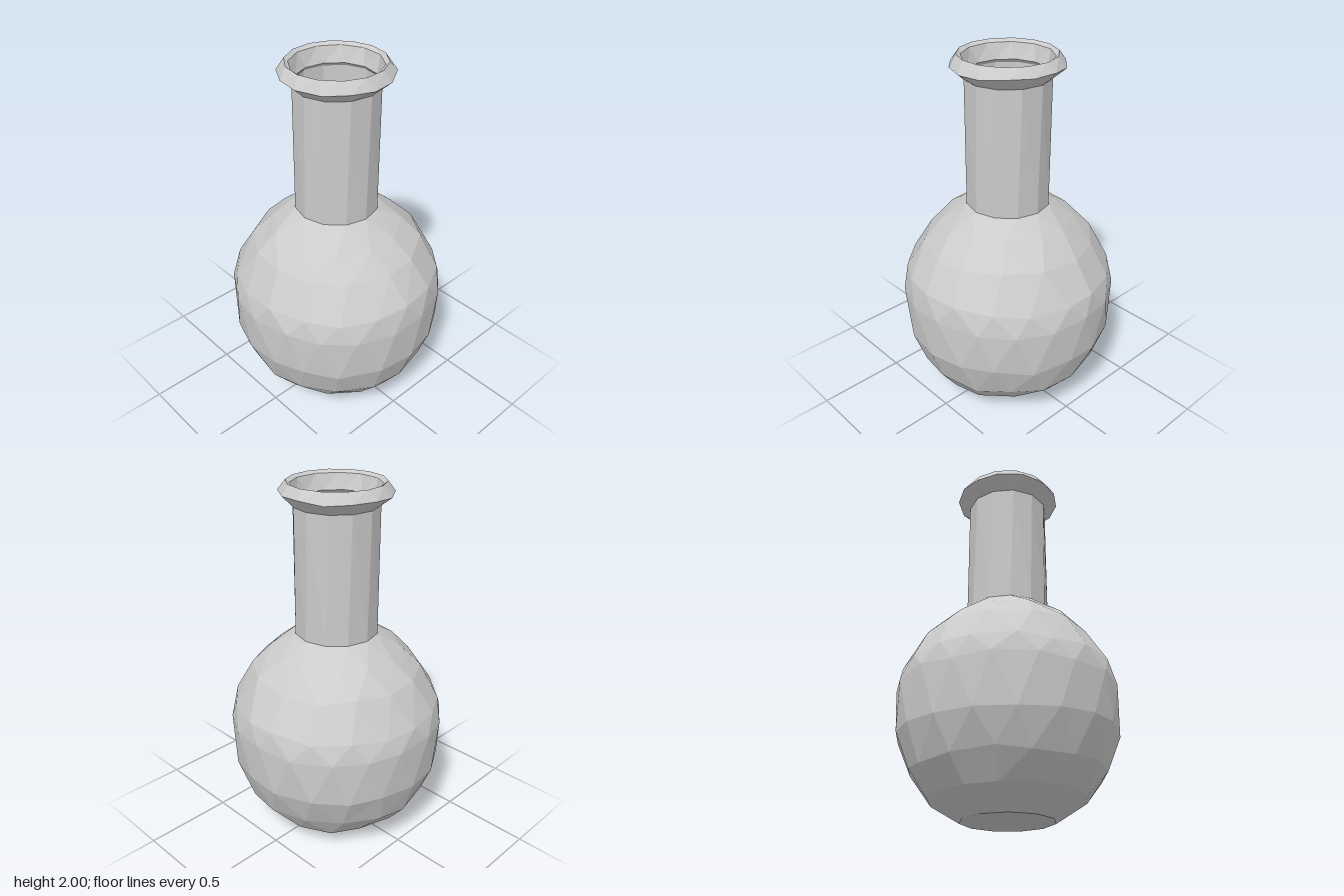
import * as THREE from 'three';

const TAU = Math.PI * 2;

const material = new THREE.MeshStandardMaterial({
  color: 0xcccccc, flatShading: true, side: THREE.DoubleSide,
});

// Small seeded generator for the hand-cut unevenness
function seeded(seed) {
  return () => {
    seed = (seed * 16807) % 2147483647;
    return seed / 2147483647 - 0.5;
  };
}

// Ring of n points; wobble varies the spacing and height a little
function ring(radius, y, n, phase = 0, wobble = 0, random = () => 0) {
  return Array.from({ length: n }, (_, i) => {
    const angle = ((i + phase + random() * wobble) / n) * TAU;
    const p = new THREE.Vector3(radius * Math.sin(angle), y + random() * wobble * 0.12, radius * Math.cos(angle));
    return { p, angle };
  });
}

// Join two rings of any point counts with triangles facing outwards
function zip(low, high, out) {
  const at = (r, i) => r[i % r.length].p;
  const angle = (r, i) => r[i % r.length].angle + Math.floor(i / r.length) * TAU;
  let i = 0, j = 0;
  while (i < low.length || j < high.length) {
    const stepLow = j >= high.length || (i < low.length && angle(low, i + 1) <= angle(high, j + 1));
    if (stepLow) {
      out.push(at(low, i), at(low, i + 1), at(high, j));
      i++;
    } else {
      out.push(at(low, i), at(high, j + 1), at(high, j));
      j++;
    }
  }
}

function shell(name, rings, floor = false) {
  const points = [];
  for (let k = 0; k + 1 < rings.length; k++) zip(rings[k], rings[k + 1], points);
  if (floor) {
    const base = rings[0];
    const centre = new THREE.Vector3(0, base[0].p.y, 0);
    base.forEach((v, i) => points.push(centre, base[(i + 1) % base.length].p, v.p));
  }
  const geometry = new THREE.BufferGeometry().setFromPoints(points);
  geometry.computeVertexNormals();
  const mesh = new THREE.Mesh(geometry, material);
  mesh.name = name;
  return mesh;
}

export function createModel() {
  const group = new THREE.Group();
  group.name = 'flask';
  const random = seeded(4711);
  const neckSides = 12;

  // Round body with a flat base, cut off where the neck begins
  const bodyRows = [
    // radius, y, sides, phase
    [0.42, 0.11, 14, 0.5],
    [0.52, 0.24, 16, 0.1],
    [0.59, 0.43, 18, 0.5],
    [0.6, 0.68, 18, 0],
    [0.575, 0.79, 18, 0.5],
    [0.47, 0.97, 14, 0.2],
    [0.36, 1.08, 12, 0.5],
  ].map(([r, y, n, phase]) => ring(r, y, n, phase, 0.25, random));
  group.add(shell('body', [ring(0.25, 0, 11), ...bodyRows, ring(0.23, 1.18, neckSides)], true));

  // Straight faceted neck
  group.add(shell('neck', [ring(0.23, 1.18, neckSides), ring(0.23, 1.88, neckSides, 0.15)]));

  // Flared lip that turns over the top and funnels back into the neck
  group.add(shell('lip', [
    ring(0.23, 1.88, neckSides, 0.15),
    ring(0.3, 1.945, 14, 0.3, 0.15, random),
    ring(0.26, 2, 14, 0.1),
    ring(0.24, 1.985, 12, 0.4),
    ring(0.212, 1.9, neckSides, 0.15),
    ring(0.23, 1.88, neckSides, 0.15),
  ]));

  return group;
}
